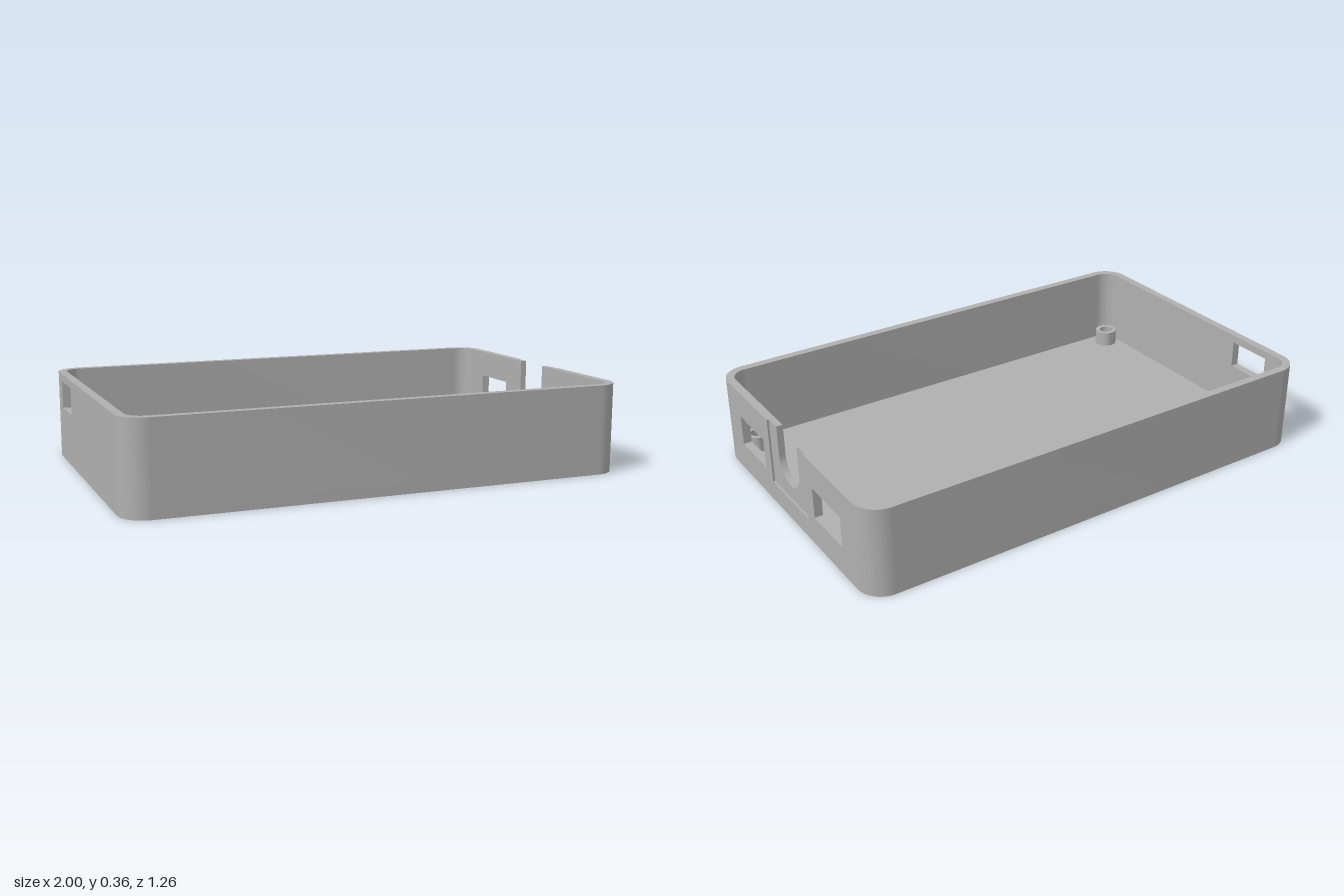
import * as THREE from 'three';
import { toCreasedNormals } from 'three/addons/utils/BufferGeometryUtils.js';

const HX = 1, HZ = 0.63, H = 0.357; // half width, half depth, height
const R = 0.1, T = 0.034;           // corner radius, wall and floor thickness
const RECESS = 0.008;               // depth of the shallow recess round the notch

export function createModel() {
  const model = new THREE.Group();
  model.name = 'enclosureTray';
  const grey = new THREE.MeshStandardMaterial({ color: 0xb0b0b0 });
  grey.name = 'plastic grey';

  const add = (name, geometry) => {
    const mesh = new THREE.Mesh(toCreasedNormals(geometry, 0.6), grey);
    mesh.name = name;
    model.add(mesh);
    return mesh;
  };
  const extrude = (shape, depth) =>
    new THREE.ExtrudeGeometry(shape, { depth, bevelEnabled: false, curveSegments: 16 });
  const polygon = (points) => new THREE.Shape(points.map(([x, y]) => new THREE.Vector2(x, y)));
  const window = (u0, u1, v0, v1) => polygon([[u0, v0], [u0, v1], [u1, v1], [u1, v0]]);

  const cx = HX - R, cz = HZ - R; // corner centres

  // Floor: rounded slab
  const outline = new THREE.Shape();
  outline.absarc(cx, cz, R, 0, Math.PI / 2);
  outline.absarc(-cx, cz, R, Math.PI / 2, Math.PI);
  outline.absarc(-cx, -cz, R, Math.PI, Math.PI * 1.5);
  outline.absarc(cx, -cz, R, Math.PI * 1.5, Math.PI * 2);
  add('floor', extrude(outline, T).rotateX(-Math.PI / 2));

  // Long walls, each with its two rounded corners
  const rail = new THREE.Shape();
  rail.absarc(cx, cz, R, 0, Math.PI / 2);
  rail.absarc(-cx, cz, R, Math.PI / 2, Math.PI);
  rail.absarc(-cx, cz, R - T, Math.PI, Math.PI / 2, true);
  rail.absarc(cx, cz, R - T, Math.PI / 2, 0, true);
  for (const [name, turn] of [['backWall', 0], ['frontWall', Math.PI]]) {
    add(name, extrude(rail, H - T).rotateX(-Math.PI / 2).rotateY(turn).translate(0, T, 0));
  }

  // End walls are drawn in (-z, y) and extruded along x
  const endWall = (name, shape, x, depth) =>
    add(name, extrude(shape, depth).rotateY(Math.PI / 2).translate(x, 0, 0));

  // Plain end with one window
  const plainEnd = polygon([[-cz, T], [cz, T], [cz, H], [-cz, H]]);
  plainEnd.holes.push(window(0.275, 0.465, 0.215, 0.325));
  endWall('plainEndWall', plainEnd, -HX, T);

  // Port end: inner layer with a U notch, outer layer opened by the recess
  const notch = 0.087, notchY = 0.23;
  const inner = new THREE.Shape();
  inner.moveTo(-cz, T);
  inner.lineTo(cz, T);
  inner.lineTo(cz, H);
  inner.lineTo(notch, H);
  inner.absarc(0, notchY, notch, 0, -Math.PI, true);
  inner.lineTo(-notch, H);
  inner.lineTo(-cz, H);
  const outer = polygon([[-cz, T], [cz, T], [cz, H], [0.155, H], [0.155, 0.085],
    [-0.155, 0.085], [-0.155, H], [-cz, H]]);
  for (const shape of [inner, outer]) {
    shape.holes.push(window(-0.43, -0.212, 0.12, 0.245), window(0.212, 0.43, 0.12, 0.245));
  }
  endWall('portEndWall', inner, HX - T, T - RECESS);
  endWall('portEndFacing', outer, HX - RECESS, RECESS);

  // Hollow screw posts in the corners
  const ro = 0.048, ri = 0.029, top = T + 0.065;
  const profile = [[ro, T], [ro, top], [ri, top], [ri, T]].map(([x, y]) => new THREE.Vector2(x, y));
  for (const sx of [-1, 1]) {
    for (const sz of [-1, 1]) {
      add('screwPost', new THREE.LatheGeometry(profile, 32)).position.set(sx * 0.903, 0, sz * 0.522);
    }
  }
  return model;
}
